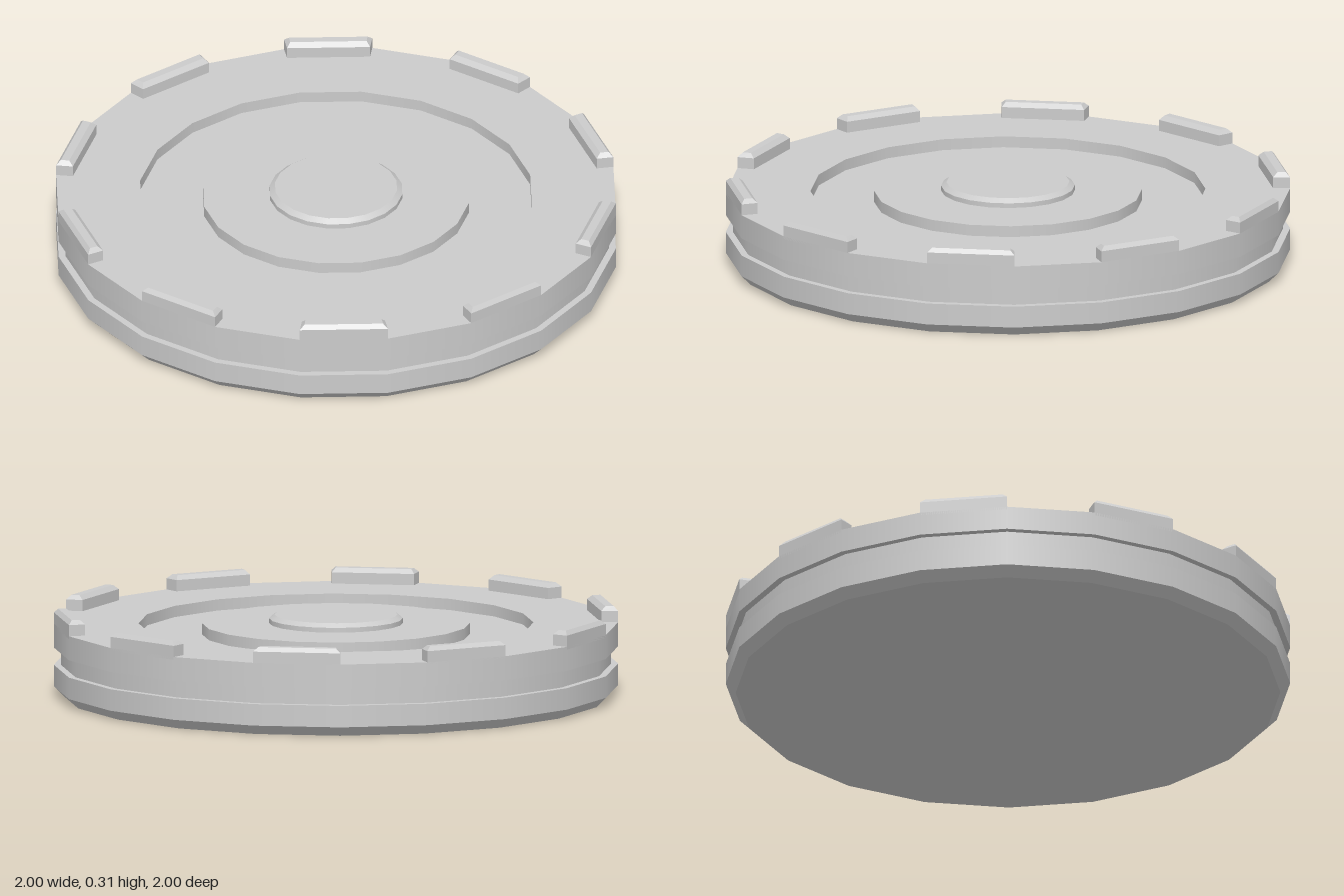
import * as THREE from 'three';
import { mergeGeometries } from 'three/addons/utils/BufferGeometryUtils.js';

const SIDES = 20;
const STEP = (Math.PI * 2) / SIDES;

// Turned solid: smooth around the axis, sharp along the profile
function turned(profile) {
  const bands = [];
  for (let i = 0; i < profile.length - 1; i++) {
    const pair = [profile[i], profile[i + 1]].map(([r, y]) => new THREE.Vector2(r, y));
    bands.push(new THREE.LatheGeometry(pair, SIDES));
  }
  return mergeGeometries(bands);
}

// Rim tooth with a bevelled top, spanning one side of the polygon before angle 0
function toothGeometry() {
  const loops = [[0.25, 0], [0.3, 0], [0.315, 0.015]].map(([y, inset]) => {
    const r0 = 0.94 + inset, r1 = 1 - inset;
    const a0 = -STEP + inset, a1 = -inset;
    return [[r1, a0], [r1, a1], [r0, a1], [r0, a0]]
      .map(([r, a]) => [r * Math.sin(a), y, r * Math.cos(a)]);
  });
  const index = [];
  for (let l = 0; l < 2; l++) {
    for (let i = 0; i < 4; i++) {
      const a = l * 4 + i, b = l * 4 + (i + 1) % 4;
      index.push(a, b, b + 4, a, b + 4, a + 4);
    }
  }
  index.push(8, 9, 10, 8, 10, 11, 0, 2, 1, 0, 3, 2);
  const indexed = new THREE.BufferGeometry();
  indexed.setAttribute('position', new THREE.Float32BufferAttribute(loops.flat(2), 3));
  indexed.setIndex(index);
  const geometry = indexed.toNonIndexed();
  geometry.computeVertexNormals();
  return geometry;
}

export function createModel() {
  const model = new THREE.Group();
  model.name = 'disc';
  const material = new THREE.MeshStandardMaterial({ color: 0xcccccc });

  const add = (name, geometry) => {
    const mesh = new THREE.Mesh(geometry, material);
    mesh.name = name;
    model.add(mesh);
    return mesh;
  };

  // Body: chamfered foot, grooved side and a sunken ring in the top
  add('body', turned([
    [0, 0], [0.965, 0], [1, 0.035],
    [1, 0.112], [0.975, 0.112], [0.975, 0.174], [1, 0.174],
    [1, 0.26], [0.7, 0.26], [0.7, 0.22],
    [0.475, 0.22], [0.475, 0.26], [0, 0.26],
  ]));

  // Raised centre button with a bevelled edge
  add('centreButton', turned([[0.237, 0.255], [0.237, 0.277], [0.218, 0.291], [0, 0.291]]));

  // Teeth on every second side of the rim
  const tooth = toothGeometry();
  for (let i = 0; i < SIDES / 2; i++) {
    add('rimTooth', tooth).rotation.y = i * 2 * STEP;
  }

  return model;
}
